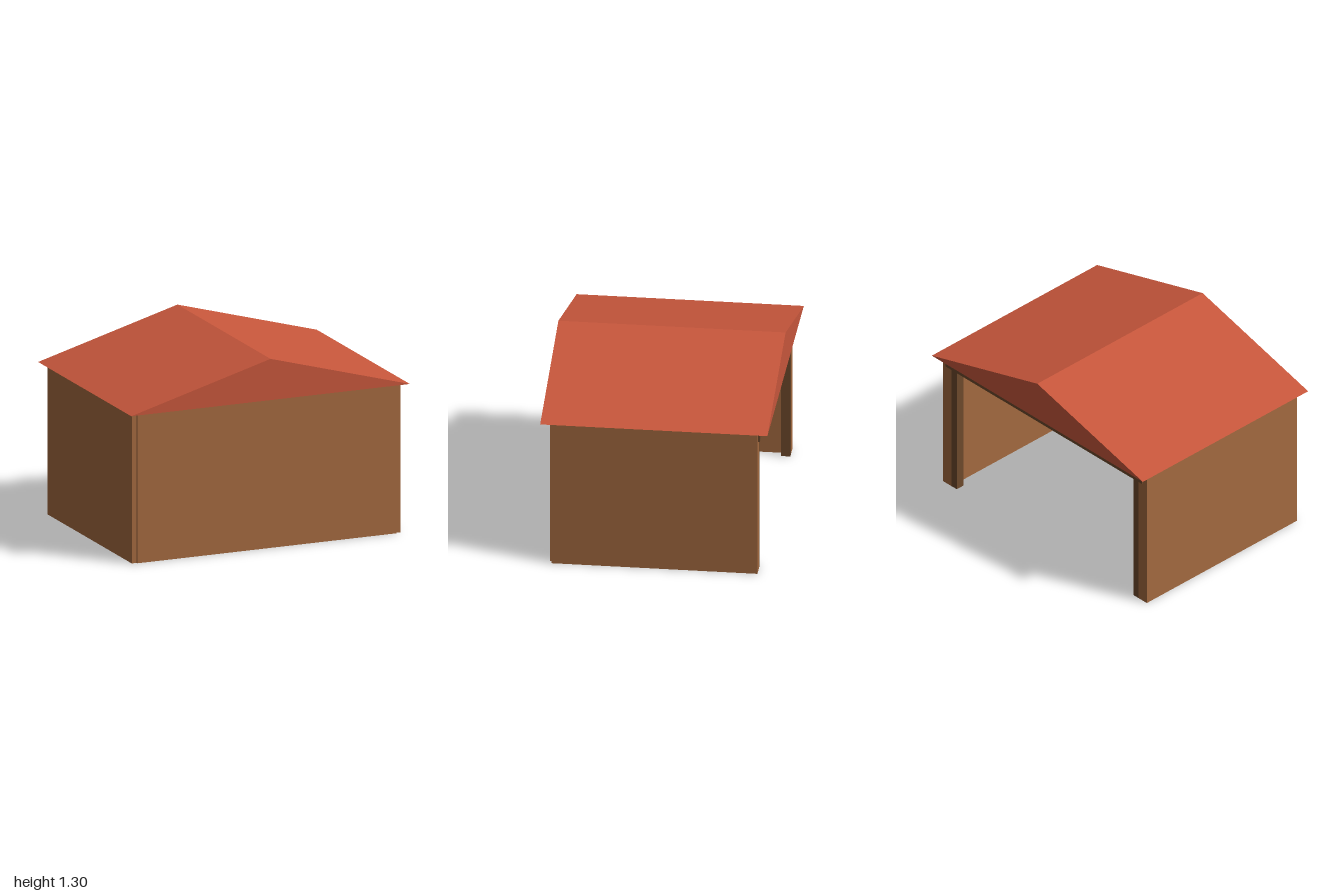
import * as THREE from 'three';

export function createModel() {
  const model = new THREE.Group();
  model.name = 'shed';

  const wood = new THREE.MeshStandardMaterial({ color: 0xa56b40 });
  wood.name = 'wall wood';
  const darkWood = new THREE.MeshStandardMaterial({ color: 0x6f4a2c });
  darkWood.name = 'dark timber';
  const red = new THREE.MeshStandardMaterial({ color: 0xc8573c });
  red.name = 'roof red';

  // Box given by its minimum and maximum corners
  function block(name, material, [x0, y0, z0], [x1, y1, z1]) {
    const mesh = new THREE.Mesh(new THREE.BoxGeometry(x1 - x0, y1 - y0, z1 - z0), material);
    mesh.position.set((x0 + x1) / 2, (y0 + y1) / 2, (z0 + z1) / 2);
    mesh.name = name;
    model.add(mesh);
  }

  const eaves = 1.02;
  const wallOut = 0.965, wallIn = 0.887;

  // Closed front wall, slightly proud of the side walls
  block('frontWall', wood, [-0.93, 0, 0.615], [0.93, eaves, 0.692]);

  // Side walls and the door posts against their open back ends
  for (const [side, s] of [['left', 1], ['right', -1]]) {
    const span = (a, b) => [Math.min(s * a, s * b), Math.max(s * a, s * b)];
    const [w0, w1] = span(wallIn, wallOut);
    block(side + 'Wall', wood, [w0, 0, -0.68], [w1, eaves, 0.68]);
    const [p0, p1] = span(wallIn - 0.05, wallIn);
    block(side + 'DoorPost', darkWood, [p0, 0, -0.68], [p1, eaves, -0.62]);
  }

  // Beam over the open back
  block('lintel', darkWood, [-0.93, 0.94, -0.692], [0.93, eaves, -0.62]);

  // Solid gabled roof with overhang
  const gable = new THREE.Shape([
    new THREE.Vector2(-1, eaves),
    new THREE.Vector2(1, eaves),
    new THREE.Vector2(0, 1.3),
  ]);
  const roofGeometry = new THREE.ExtrudeGeometry(gable, { depth: 1.5, bevelEnabled: false });
  roofGeometry.translate(0, 0, -0.75);
  const roof = new THREE.Mesh(roofGeometry, red);
  roof.name = 'roof';
  model.add(roof);

  return model;
}
